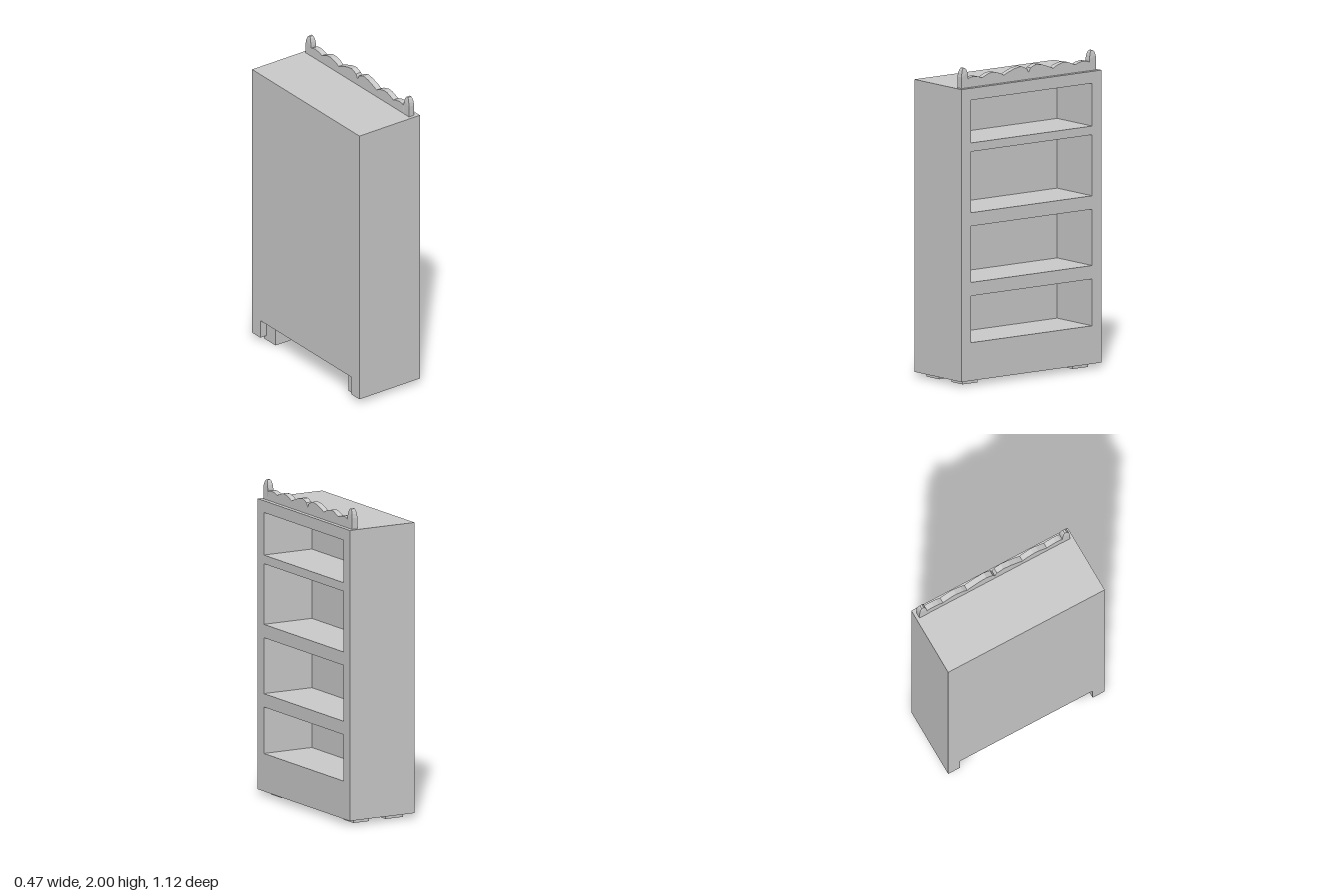
import * as THREE from 'three';

const material = new THREE.MeshStandardMaterial({ color: 0xcccccc, flatShading: true });

const HALF_W = 0.5575, BOTTOM = 0.03, TOP = 1.875;
const BACK = -0.235, FRONT = 0.233;
const SHELF_BACK = -0.115, RECESS_FRONT = 0.05;
const OPENINGS = [[0.27, 0.565], [0.65, 1.005], [1.09, 1.475], [1.53, 1.8]];

function polygon(points) {
  return new THREE.Shape(points.map(([a, b]) => new THREE.Vector2(a, b)));
}

// Extrudes a (z, y) outline from x0 to x1
function slab(name, shape, x0, x1) {
  const geometry = new THREE.ExtrudeGeometry(shape, { depth: x1 - x0, bevelEnabled: false, curveSegments: 6 });
  geometry.rotateY(Math.PI / 2).translate(x0, 0, 0);
  const mesh = new THREE.Mesh(geometry, material);
  mesh.name = name;
  return mesh;
}

// Cabinet section: optional shelf openings and optional cut-out under the base
function cabinetShape(hasOpenings, hasRecess) {
  const w = HALF_W, r = 0.472, ceiling = 0.15;
  const recess = hasRecess ? [[r, BOTTOM], [r, ceiling], [-r, ceiling], [-r, BOTTOM]] : [];
  const shape = polygon([[-w, TOP], [w, TOP], [w, BOTTOM], ...recess, [-w, BOTTOM]]);
  if (hasOpenings) {
    const h = 0.4825;
    for (const [y0, y1] of OPENINGS) {
      shape.holes.push(polygon([[-h, y0], [h, y0], [h, y1], [-h, y1]]));
    }
  }
  return shape;
}

// Scalloped board along the top, mirrored about the middle
function crestShape() {
  const half = [
    [0, 1.918], [0.015, 1.945], [0.06, 1.963], [0.11, 1.955], [0.165, 1.936], [0.197, 1.922],
    [0.225, 1.938], [0.275, 1.951], [0.31, 1.949], [0.345, 1.936], [0.37, 1.925],
    [0.4, 1.936], [0.435, 1.941], [0.465, 1.938], [0.485, 1.928],
  ];
  const mirrored = half.slice(1).reverse().map(([z, y]) => [-z, y]);
  return polygon([[-0.49, TOP], ...mirrored, ...half, [0.49, TOP]]);
}

// Bullet-shaped finial, narrowing in both directions near its tip
function finial(z) {
  const side = [[0.027, TOP], [0.027, 1.945], [0.023, 1.97], [0.016, 1.99], [0.007, 2]];
  const shape = polygon([...side, ...side.slice().reverse().map(([a, y]) => [-a, y])]);
  const mesh = slab('finial', shape, -0.02, 0.02);
  const p = mesh.geometry.attributes.position;
  for (let i = 0; i < p.count; i++) {
    const t = Math.max(0, (p.getY(i) - 1.945) / 0.055);
    p.setX(i, p.getX(i) * (1 - 0.4 * t * t));
  }
  mesh.geometry.computeVertexNormals();
  mesh.position.set(0.185, 0, z);
  return mesh;
}

function foot(name, x0, x1, height, side) {
  const mesh = new THREE.Mesh(new THREE.BoxGeometry(x1 - x0, height, 0.12), material);
  mesh.name = name;
  mesh.position.set((x0 + x1) / 2, height / 2, side * 0.438);
  return mesh;
}

export function createModel() {
  const model = new THREE.Group();
  model.name = 'bookcase';

  // Cabinet, layered from back to front
  const cabinet = new THREE.Group();
  cabinet.name = 'cabinet';
  cabinet.add(
    slab('backPanel', cabinetShape(false, true), BACK, SHELF_BACK),
    slab('shelves', cabinetShape(true, true), SHELF_BACK, RECESS_FRONT),
    slab('frontFrame', cabinetShape(true, false), RECESS_FRONT, FRONT),
  );
  model.add(cabinet);

  // Top decoration
  model.add(slab('scallopedCrest', crestShape(), 0.166, 0.204), finial(0.508), finial(-0.51));

  // Feet: short pads under the front rail, tall blocks in the open base
  for (const side of [-1, 1]) {
    model.add(
      foot('frontFoot', 0.058, 0.17, 0.04, side),
      foot('rearFoot', -0.187, -0.063, 0.155, side),
    );
  }
  return model;
}
